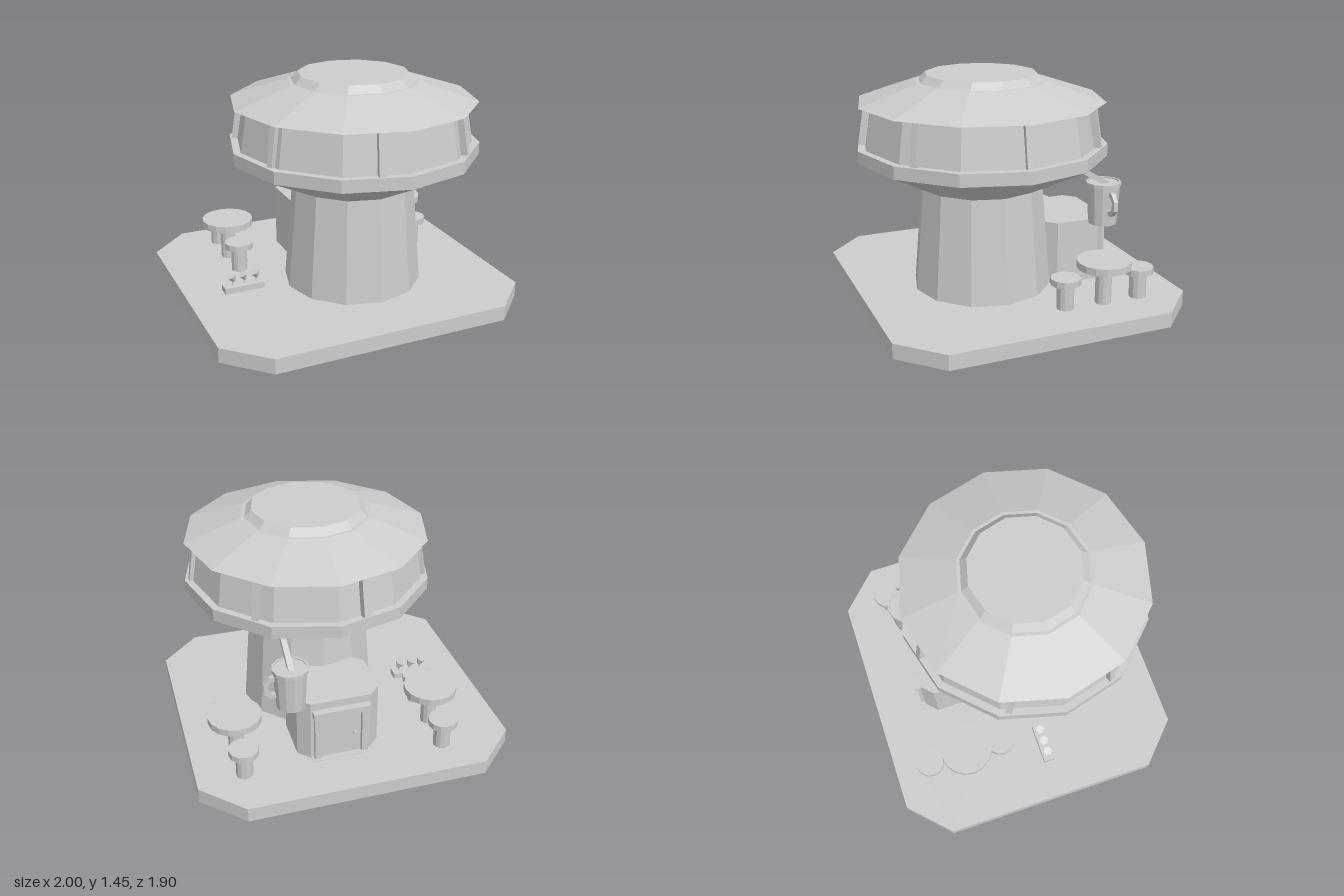
import * as THREE from 'three';

export function createModel() {
  const model = new THREE.Group();
  const stone = new THREE.MeshStandardMaterial({ color: 0xcccccc });
  stone.name = 'plain grey';
  stone.flatShading = true;
  stone.side = THREE.DoubleSide;

  function add(name, geometry, x = 0, y = 0, z = 0, parent = model) {
    const mesh = new THREE.Mesh(geometry, stone);
    mesh.name = name;
    mesh.position.set(x, y, z);
    parent.add(mesh);
    return mesh;
  }
  const box = (w, h, d) => new THREE.BoxGeometry(w, h, d);
  const drum = (top, bottom, h, sides = 12) => new THREE.CylinderGeometry(top, bottom, h, sides);
  // Plan outline given as [x, z]
  const plan = (pts) => new THREE.Shape(pts.map(([x, z]) => new THREE.Vector2(x, -z)));
  const lathe = (pts) => new THREE.LatheGeometry(pts.map(([r, y]) => new THREE.Vector2(r, y)), 12);

  // Base: a hollow tray turned upside down, with cut corners
  const corners = [
    [-0.75, 0.948], [0.75, 0.948], [1, 0.703], [1, -0.703],
    [0.75, -0.948], [-0.75, -0.948], [-1, -0.703], [-1, 0.703],
  ];
  add('baseTop', new THREE.ShapeGeometry(plan(corners)).rotateX(-Math.PI / 2), 0, 0.095, 0);
  corners.forEach(([x, z], i) => {
    const [nx, nz] = corners[(i + 1) % corners.length];
    const side = new THREE.PlaneGeometry(Math.hypot(nx - x, nz - z), 0.095);
    add('baseSide', side, (x + nx) / 2, 0.0475, (z + nz) / 2).rotation.y = Math.atan2(z - nz, nx - x);
  });

  // Twelve-sided tower, turned as one profile per section
  const tower = new THREE.Group();
  tower.name = 'tower';
  tower.position.set(0.09, 0, 0.155);
  model.add(tower);
  const turned = (name, pts) => add(name, lathe(pts), 0, 0, 0, tower);
  turned('column', [[0.44, 0.095], [0.385, 0.755]]);
  turned('flare', [[0.385, 0.755], [0.78, 0.953]]);
  turned('rim', [[0.78, 0.953], [0.78, 1.03], [0.73, 1.03]]);
  turned('upperWall', [[0.735, 1.03], [0.693, 1.285]]);
  turned('roof', [[0.68, 1.285], [0.767, 1.285], [0.408, 1.407], [0.385, 1.407]]);
  turned('roofCap', [[0.388, 1.407], [0.345, 1.451], [0, 1.451]]);

  // Seven leaning mullions around the upper wall
  for (let i = 0; i < 7; i++) {
    const pivot = new THREE.Group();
    pivot.name = 'mullion';
    pivot.rotation.y = Math.PI / 2 + (i * Math.PI * 2) / 7;
    tower.add(pivot);
    add('mullionBar', box(0.04, 0.255, 0.045), 0, 1.158, 0.713, pivot).rotation.x = -0.155;
  }

  // Hut with chamfered corners, its doorstep reaching below the base top
  add('hut', new THREE.ExtrudeGeometry(plan([
    [-0.1, -0.19], [0.28, -0.19], [0.35, -0.26], [0.35, -0.545],
    [0.28, -0.615], [-0.1, -0.615], [-0.17, -0.545], [-0.17, -0.26],
  ]), { depth: 0.41, bevelEnabled: false }).rotateX(-Math.PI / 2), 0, 0.095, 0);
  add('lintel', box(0.36, 0.04, 0.045), 0.09, 0.435, -0.637);
  for (const side of [-1, 1]) add('doorPost', box(0.04, 0.32, 0.03), 0.09 + side * 0.15, 0.255, -0.627);
  add('door', box(0.25, 0.3, 0.008), 0.09, 0.245, -0.617);
  add('doorKnob', drum(0.014, 0.014, 0.025, 8).rotateX(Math.PI / 2), 0.0, 0.245, -0.63);
  add('doorstep', box(0.37, 0.05, 0.1), 0.09, 0.073, -0.61);

  // Round tables, each with two stools placed at [x, z]
  function seating(x, z, stools) {
    add('tableTop', drum(0.168, 0.168, 0.045, 16), x, 0.35, z);
    add('tablePost', drum(0.05, 0.05, 0.235), x, 0.2125, z);
    for (const [sx, sz] of stools) {
      add('stoolSeat', drum(0.093, 0.093, 0.04), sx, 0.273, sz);
      add('stoolPost', drum(0.053, 0.053, 0.16), sx, 0.175, sz);
    }
  }
  seating(-0.556, -0.455, [[-0.547, -0.707], [-0.557, -0.22]]);
  seating(0.704, -0.4, [[0.703, -0.642], [0.695, -0.147]]);

  // Planter with three small flowers
  add('planter', box(0.26, 0.05, 0.075), -0.63, 0.108, 0.068);
  for (const x of [-0.7, -0.625, -0.545]) {
    add('flowerStem', drum(0.005, 0.005, 0.04, 5), x, 0.148, 0.068);
    add('flowerHead', drum(0.03, 0.01, 0.038, 6), x, 0.178, 0.068).rotation.z = 0.4;
  }

  // Mug resting on the corner of the hut
  const mug = new THREE.Group();
  mug.name = 'mug';
  mug.position.set(0.385, 0, -0.555);
  model.add(mug);
  add('mugBody', lathe([
    [0, 0.488], [0.09, 0.488], [0.104, 0.737], [0.112, 0.737],
    [0.112, 0.76], [0.1, 0.76], [0.1, 0.752], [0, 0.752],
  ]), 0, 0, 0, mug);

  // Eight-sided handle ring
  const ring = (Type, rx, ry) => new Type(Array.from({ length: 8 }, (_, i) => {
    const a = ((i + 0.5) * Math.PI) / 4;
    return new THREE.Vector2(rx * Math.cos(a), ry * Math.sin(a));
  }));
  const loop = ring(THREE.Shape, 0.072, 0.08);
  loop.holes.push(ring(THREE.Path, 0.042, 0.048));
  add('mugHandle', new THREE.ExtrudeGeometry(loop, { depth: 0.028, bevelEnabled: false }), 0.1, 0.638, -0.014, mug);

  // Straw leaning towards the tower
  add('straw', box(0.034, 0.034, 0.25), 0, 0.802, 0.078, mug).rotation.x = -0.53;

  return model;
}
